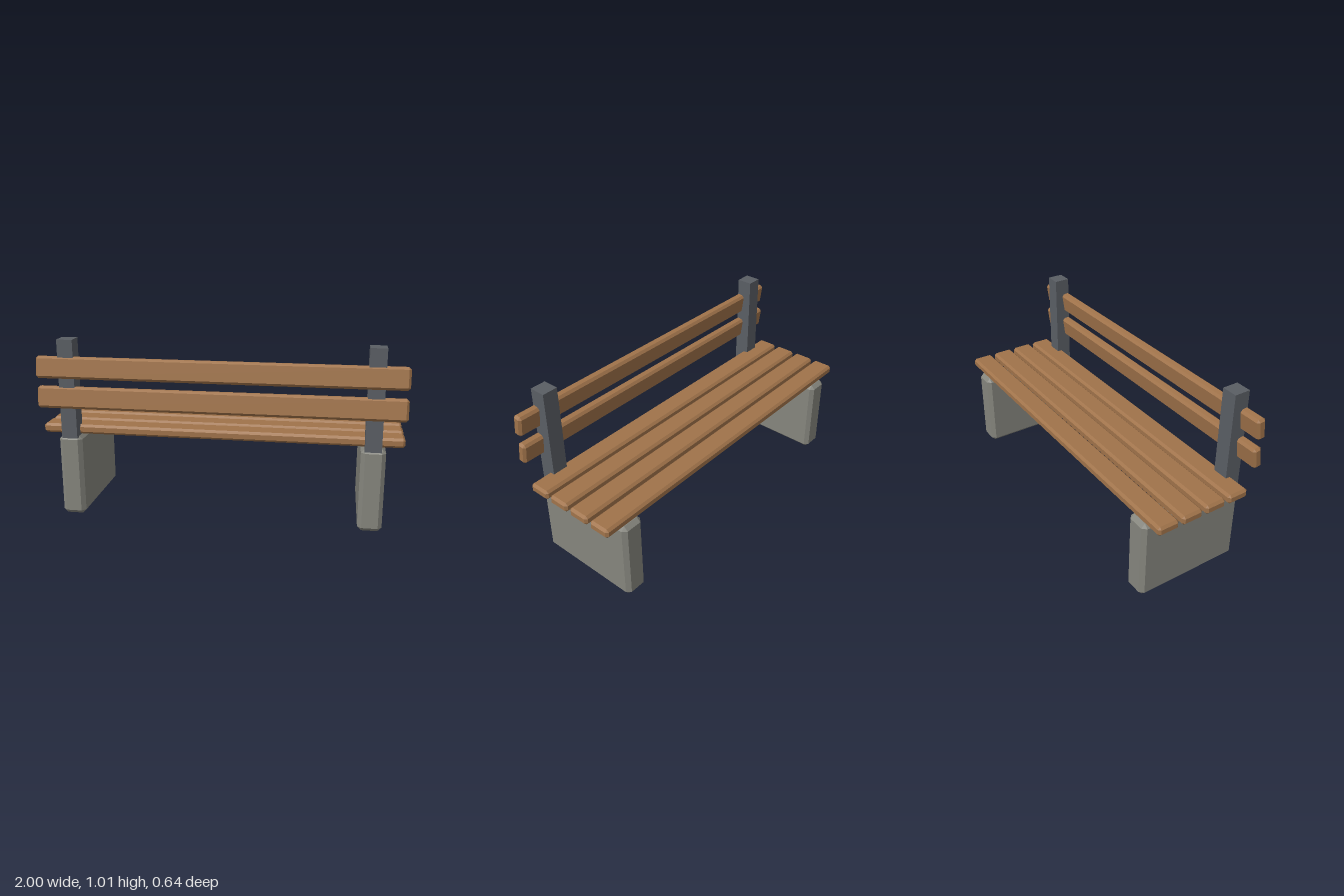
import * as THREE from 'three';
import { ConvexGeometry } from 'three/addons/geometries/ConvexGeometry.js';

const wood = new THREE.MeshStandardMaterial({ color: 0xa0734a, flatShading: true });
const concrete = new THREE.MeshStandardMaterial({ color: 0x85857d, flatShading: true });
const steel = new THREE.MeshStandardMaterial({ color: 0x5a5e64, flatShading: true });

// Box with every edge cut by a flat bevel of width c
function bevelledBox(w, h, d, c) {
  const points = [];
  for (const sx of [-1, 1]) for (const sy of [-1, 1]) for (const sz of [-1, 1]) {
    const x = w / 2, y = h / 2, z = d / 2;
    points.push(
      new THREE.Vector3(sx * x, sy * (y - c), sz * (z - c)),
      new THREE.Vector3(sx * (x - c), sy * y, sz * (z - c)),
      new THREE.Vector3(sx * (x - c), sy * (y - c), sz * z)
    );
  }
  return new ConvexGeometry(points);
}

export function createModel() {
  const bench = new THREE.Group();
  bench.name = 'bench';

  function add(name, geometry, material, x, y, z) {
    const mesh = new THREE.Mesh(geometry, material);
    mesh.name = name;
    mesh.position.set(x, y, z);
    bench.add(mesh);
    return mesh;
  }

  // Concrete end blocks and the steel posts behind them
  const legGeometry = bevelledBox(0.132, 0.468, 0.612, 0.022);
  const postGeometry = new THREE.BoxGeometry(0.088, 0.555, 0.09);
  for (const [side, s] of [['left', 1], ['right', -1]]) {
    add(side + 'Leg', legGeometry, concrete, s * 0.835, 0.234, -0.014);
    add(side + 'Post', postGeometry, steel, s * 0.832, 0.7345, 0.254);
  }

  // Four seat slats
  const seatGeometry = bevelledBox(2, 0.053, 0.122, 0.013);
  for (let i = 0; i < 4; i++) {
    add('seatSlat' + (i + 1), seatGeometry, wood, 0, 0.496, 0.186 - i * 0.1437);
  }

  // Two tilted backrest slats
  const backGeometry = bevelledBox(2, 0.121, 0.053, 0.013);
  [0.69, 0.857].forEach((y, i) => {
    add('backSlat' + (i + 1), backGeometry, wood, 0, y, 0.287).rotation.x = -0.14;
  });

  return bench;
}
